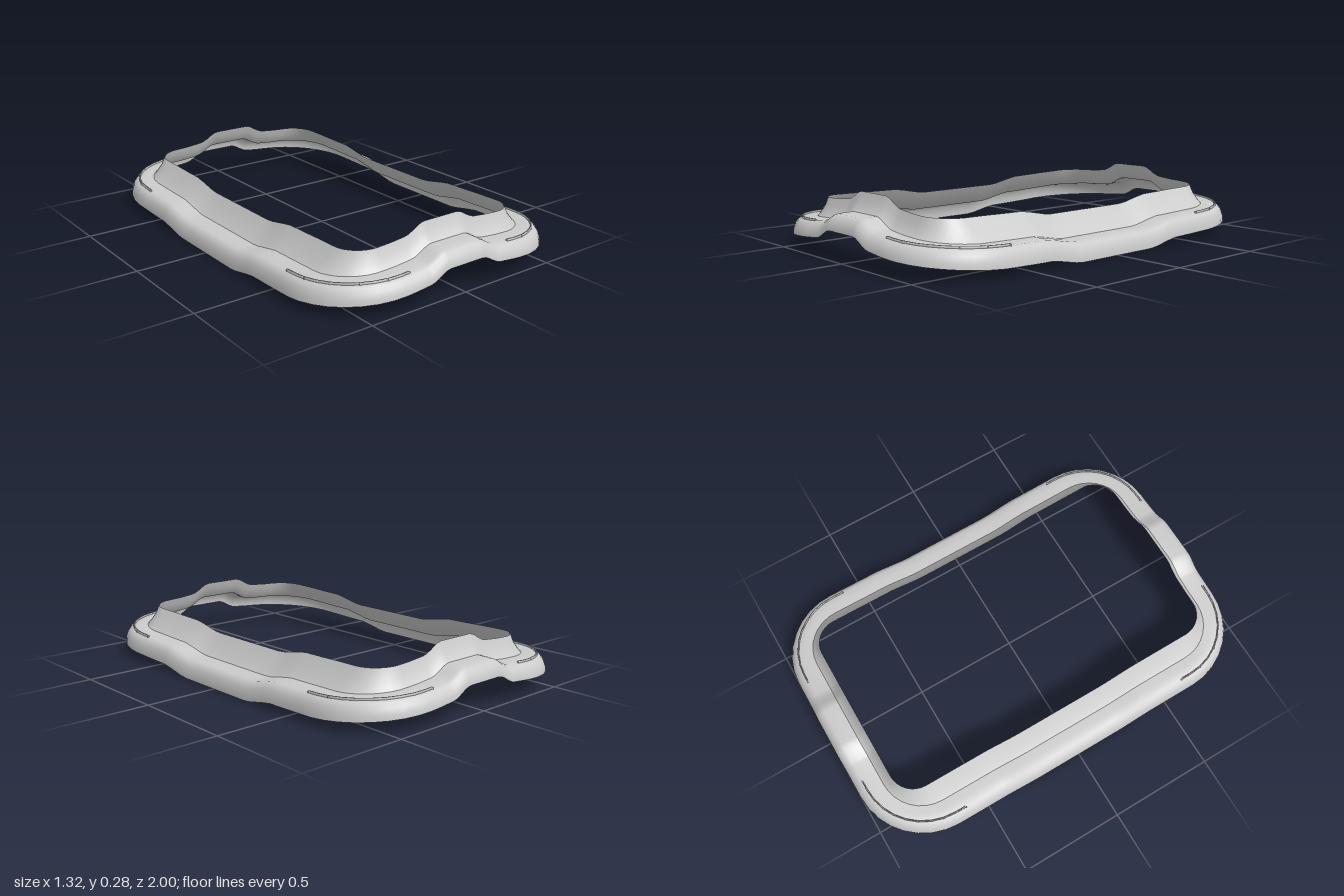
import * as THREE from 'three';

const { lerp } = THREE.MathUtils;
const material = new THREE.MeshStandardMaterial({ color: 0xcccccc, side: THREE.DoubleSide });

// Lower-edge height along the long side [z, y] and along the short end [x, y]
const SIDE = [[0, 0], [0.12, 0], [0.22, 0], [0.26, 0.004], [0.3, 0.012], [0.35, 0.022], [0.4, 0.03], [0.5, 0.032], [0.6, 0.035]];
const END = [[0.28, 0.077], [0.2, 0.085], [0.18, 0.09], [0.155, 0.102], [0.13, 0.117], [0.11, 0.126], [0.09, 0.13], [0, 0.13]];
const ARC = 8;

// Ring: half width a, half length b, corner radius r, height over the lower edge at side and end
const ring = (a, b, r, hs, he) => ({ a, b, r, hs, he });

const SKIRT = [
  ring(0.66, 1.0, 0.34, 0, 0),
  ring(0.659, 0.998, 0.34, 0.025, 0.02),
  ring(0.65, 0.988, 0.33, 0.055, 0.042),
  ring(0.637, 0.973, 0.315, 0.073, 0.06),
  ring(0.62, 0.955, 0.3, 0.084, 0.069),
  ring(0.58, 0.918, 0.25, 0.087, 0.071),
  ring(0.54, 0.878, 0.2, 0.087, 0.071),
];
const WALL = [
  ring(0.54, 0.878, 0.2, 0.087, 0.071),
  ring(0.523, 0.864, 0.18, 0.103, 0.085),
  ring(0.49, 0.845, 0.15, 0.142, 0.118),
  ring(0.462, 0.832, 0.12, 0.185, 0.155),
];

// One quarter of a ring, from the middle of the +x side to the middle of the +z end
function quarter({ a, b, r, hs, he }) {
  const pts = SIDE.map(([z, y]) => new THREE.Vector3(a, y + hs, z));
  for (let i = 0; i <= ARC; i++) {
    const t = i / ARC, ang = t * Math.PI / 2;
    pts.push(new THREE.Vector3(
      a - r + r * Math.cos(ang),
      lerp(0.037, 0.074, t) + lerp(hs, he, t),
      b - r + r * Math.sin(ang)));
  }
  END.forEach(([x, y]) => pts.push(new THREE.Vector3(x, y + he, b)));
  return pts;
}

const mirror = (pts, sx, sz) => {
  const out = pts.map(p => new THREE.Vector3(p.x * sx, p.y, p.z * sz));
  return sx * sz < 0 ? out.reverse() : out;
};

// Full closed loop from four mirrored quarters
function loop(r) {
  const q = quarter(r);
  return [[1, 1], [-1, 1], [-1, -1], [1, -1]].flatMap(([sx, sz]) => mirror(q, sx, sz).slice(0, -1));
}

// Skin a list of equally long rows; either direction can wrap around
function loft(name, rows, closedPath, closedSection) {
  const n = rows[0].length, m = rows.length, index = [];
  for (let j = 0; j < (closedSection ? m : m - 1); j++) {
    for (let i = 0; i < (closedPath ? n : n - 1); i++) {
      const k = (j + 1) % m, l = (i + 1) % n;
      const a = j * n + i, b = k * n + i, c = k * n + l, d = j * n + l;
      index.push(a, b, d, b, c, d);
    }
  }
  const geo = new THREE.BufferGeometry().setFromPoints(rows.flat());
  geo.setIndex(index);
  geo.computeVertexNormals();
  const mesh = new THREE.Mesh(geo, material);
  mesh.name = name;
  return mesh;
}

export function createModel() {
  const model = new THREE.Group();
  model.name = 'frame';

  // Rounded outer skirt with its flat band, and the flared inner wall
  model.add(loft('outerSkirt', SKIRT.map(loop), true, false));
  model.add(loft('innerWall', WALL.map(loop), true, false));

  // Thin raised strips around the four corners, with small pegs along them
  const strip = [[0.003, -0.004], [0.003, 0.008], [-0.003, 0.008], [-0.003, -0.004]]
    .map(([o, h]) => ring(0.62 + o, 0.955 + o, 0.3 + o, 0.084 + h, 0.069 + h));
  const from = SIDE.length - 1, to = SIDE.length + ARC + 2;
  const pegGeo = new THREE.BoxGeometry(0.008, 0.016, 0.008);
  for (const sx of [1, -1]) {
    for (const sz of [1, -1]) {
      const corner = new THREE.Group();
      corner.name = 'cornerStrip';
      const rows = strip.map(r => mirror(quarter(r).slice(from, to), sx, sz));
      corner.add(loft('strip', rows, false, true));
      for (let i = 0; i < rows[0].length; i += 2) {
        const peg = new THREE.Mesh(pegGeo, material);
        peg.name = 'peg';
        peg.position.copy(rows[0][i]).lerp(rows[2][i], 0.5);
        peg.position.y -= 0.004;
        peg.rotation.y = Math.atan2(peg.position.x, peg.position.z);
        corner.add(peg);
      }
      model.add(corner);
    }
  }
  return model;
}
